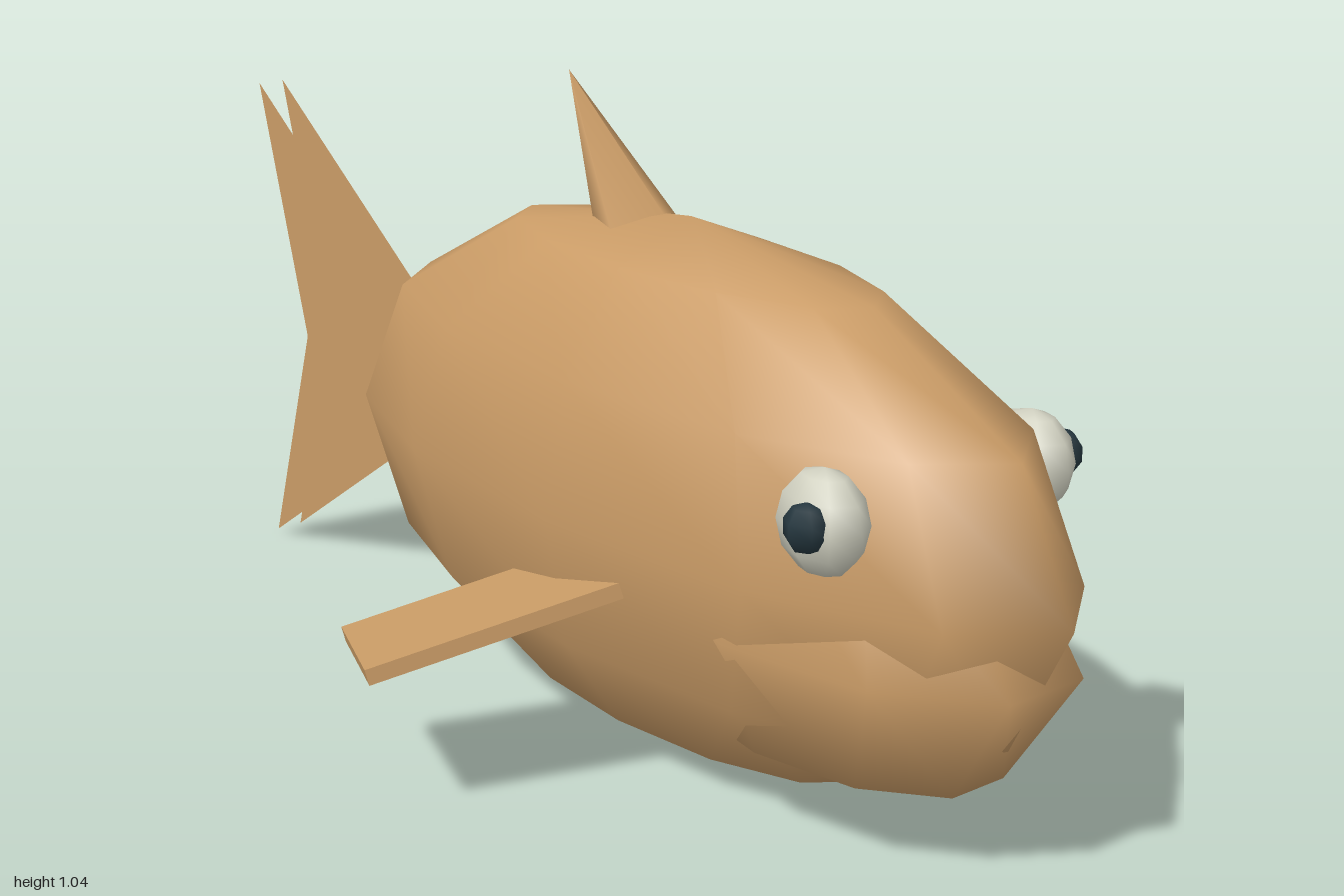
import * as THREE from 'three';

export function createModel() {
  const group = new THREE.Group();
  const skin = new THREE.MeshStandardMaterial({ color: 0xc99b66 });
  skin.name = 'tan skin';
  skin.side = THREE.DoubleSide;
  const white = new THREE.MeshStandardMaterial({ color: 0xd0d0c0 });
  white.name = 'eye white';
  const dark = new THREE.MeshStandardMaterial({ color: 0x24363e });
  dark.name = 'pupil dark';

  const add = (name, geometry, material, x = 0, y = 0, z = 0) => {
    const mesh = new THREE.Mesh(geometry, material);
    mesh.name = name;
    mesh.position.set(x, y, z);
    group.add(mesh);
    return mesh;
  };
  const ellipsoid = (rx, ry, rz, w, h) => new THREE.SphereGeometry(1, w, h).scale(rx, ry, rz);

  // Faceted-outline, smooth-shaded body and lower jaw
  add('body', ellipsoid(0.286, 0.428, 0.8, 12, 6), skin, 0, 0.43, 0.2);
  add('jaw', ellipsoid(0.24, 0.27, 0.43, 10, 4), skin, 0, 0.33, 0.55);

  // Dorsal spike leaning back
  const dorsal = add('dorsalFin', new THREE.ConeGeometry(0.075, 0.3, 5), skin, 0, 0.92, -0.01);
  dorsal.rotation.x = -0.6435;

  // Tail: two parallel thin sheets, drawn in the (z, y) plane
  const tail = new THREE.Shape([
    [0.37, 0.43], [0.995, 0.887], [0.86, 0.43], [0.99, 0.01],
  ].map(([x, y]) => new THREE.Vector2(x, y)));
  for (const s of [-1, 1]) {
    add('tailSheet', new THREE.ShapeGeometry(tail).rotateY(Math.PI / 2), skin, 0.025 * s, 0, 0);
  }

  for (const s of [-1, 1]) {
    const side = s > 0 ? 'left' : 'right';

    // Side fin: slab swept back and drooping outward
    const out = new THREE.Vector3(0.888 * s, -0.242, -0.39).normalize();
    const chord = new THREE.Vector3(0.09 * s, 0.04, 0.24);
    chord.addScaledVector(out, -chord.dot(out)).normalize();
    const up = new THREE.Vector3().crossVectors(chord, out);
    const length = 0.44;
    const fin = add(side + 'SideFin', new THREE.BoxGeometry(length, 0.025, 0.255), skin);
    fin.quaternion.setFromRotationMatrix(new THREE.Matrix4().makeBasis(out, up, chord));
    fin.position.set(0.556 * s, 0.242, 0.08).addScaledVector(out, -length / 2);

    // Eye and pupil
    add(side + 'Eye', ellipsoid(0.055, 0.079, 0.077, 8, 6), white, 0.207 * s, 0.56, 0.722);
    add(side + 'Pupil', ellipsoid(0.034, 0.037, 0.035, 6, 5), dark, 0.254 * s, 0.566, 0.738);
  }

  return group;
}
